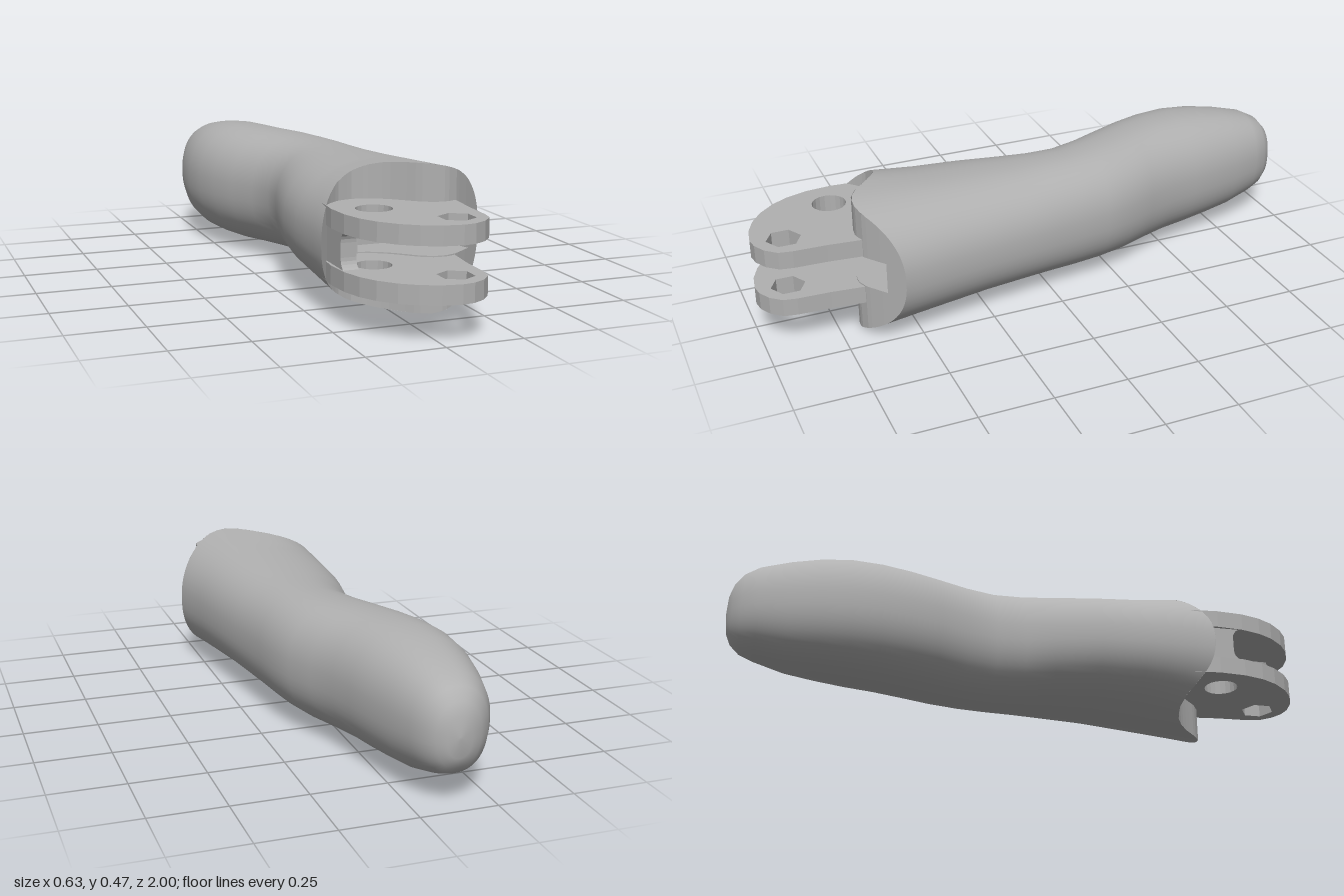
import * as THREE from 'three';

const grey = new THREE.MeshStandardMaterial({ color: 0xb0b0b0, side: THREE.DoubleSide });
grey.name = 'grey plastic';

// body sections: z, left edge, right edge, bottom, top, x of the crest
const SECTIONS = [
  [-1, -0.125, -0.115, 0.225, 0.235, -0.12],
  [-0.995, -0.16, -0.08, 0.165, 0.295, -0.12],
  [-0.98, -0.195, -0.05, 0.13, 0.335, -0.12],
  [-0.95, -0.23, -0.025, 0.1, 0.37, -0.125],
  [-0.9, -0.26, 0, 0.079, 0.395, -0.13],
  [-0.8, -0.29, 0.028, 0.05, 0.42, -0.13],
  [-0.7, -0.31, 0.053, 0.036, 0.437, -0.13],
  [-0.6, -0.315, 0.075, 0.028, 0.447, -0.12],
  [-0.5, -0.303, 0.095, 0.026, 0.449, -0.1],
  [-0.4, -0.277, 0.13, 0.026, 0.447, -0.07],
  [-0.3, -0.24, 0.172, 0.029, 0.445, -0.03],
  [-0.2, -0.195, 0.197, 0.031, 0.442, 0],
  [-0.1, -0.167, 0.21, 0.034, 0.44, 0.025],
  [0, -0.172, 0.225, 0.035, 0.44, 0.03],
  [0.1, -0.2, 0.24, 0.034, 0.441, 0.035],
  [0.25, -0.23, 0.263, 0.031, 0.447, 0.04],
  [0.4, -0.242, 0.285, 0.022, 0.455, 0.05],
];
const FRONT = [0.6, -0.245, 0.314, 0, 0.473, 0.06];
const POWER = 2.25;

// wavy front edge: z as a function of x
const EDGE = [[-0.245, 0.64], [-0.2, 0.588], [-0.16, 0.555], [-0.11, 0.543], [-0.06, 0.552], [-0.01, 0.58],
  [0.03, 0.615], [0.07, 0.655], [0.11, 0.678], [0.15, 0.682], [0.19, 0.668], [0.24, 0.63], [0.314, 0.57]];
function edgeZ(x) {
  let i = 0;
  while (i < EDGE.length - 2 && x > EDGE[i + 1][0]) i++;
  const [x0, z0] = EDGE[i], [x1, z1] = EDGE[i + 1];
  return z0 + (z1 - z0) * (x - x0) / (x1 - x0);
}

function geometry(positions, index) {
  const g = new THREE.BufferGeometry();
  g.setAttribute('position', new THREE.Float32BufferAttribute(positions, 3));
  if (index) g.setIndex(index);
  g.computeVertexNormals();
  return g;
}

// smooth finger skin, lofted from the tip to the wavy front edge
function skin() {
  const N = 56, pos = [], idx = [];
  const rows = SECTIONS.map(s => [s, 0]);
  const last = SECTIONS[SECTIONS.length - 1];
  for (const t of [0.35, 0.7, 1]) rows.push([last.map((v, k) => v + (FRONT[k] - v) * t), t]);
  const bend = (v) => Math.sign(v) * Math.pow(Math.abs(v), 2 / POWER);
  for (const [[z, l, r, b, t, cx], blend] of rows) {
    for (let j = 0; j < N; j++) {
      const a = j / N * Math.PI * 2, c = bend(Math.cos(a)), s = bend(Math.sin(a));
      const x = cx + c * (c > 0 ? r - cx : cx - l);
      const y = (b + t) / 2 + s * (t - b) / 2;
      pos.push(x, y, blend ? last[0] + (edgeZ(x) - last[0]) * blend : z);
    }
  }
  for (let i = 0; i < rows.length - 1; i++) for (let j = 0; j < N; j++) {
    const a = i * N + j, b = i * N + (j + 1) % N;
    idx.push(a, b, b + N, a, b + N, a + N);
  }
  const cap = [];
  for (let j = 1; j < N - 1; j++) cap.push(0, j + 1, j);
  return geometry(pos, idx.concat(cap));
}

// wavy front face with a deep slot between the fork plates
function frontFace() {
  const pos = [];
  const quad = (a, b, c, d) => pos.push(...a, ...b, ...c, ...a, ...c, ...d);
  const [, l, r, b, t, cx] = FRONT, mid = (b + t) / 2;
  const s0 = -0.09, s1 = 0.257, lo = 0.185, hi = 0.292, floor = 0.46;
  const half = (x) => {
    const u = Math.min(1, Math.abs((x - cx) / (x > cx ? r - cx : cx - l)));
    return (t - b) / 2 * Math.pow(1 - Math.pow(u, POWER), 1 / POWER);
  };
  const xs = [s0, s1];
  for (let i = 0; i <= 48; i++) xs.push(cx - Math.cos(i / 48 * Math.PI) * (i < 24 ? cx - l : r - cx));
  xs.sort((p, q) => p - q);
  const inner = (x) => -0.06 + (x - s0) / (s1 - s0) * 0.27;
  const column = (x) => {
    const h = half(x), z = edgeZ(x);
    return [mid - h, Math.max(lo, mid - h), Math.min(hi, mid + h), mid + h].map(y => [x, y, z]);
  };
  for (let i = 0; i < xs.length - 1; i++) {
    const p = column(xs[i]), q = column(xs[i + 1]);
    const open = xs[i] >= s0 && xs[i + 1] <= s1;
    for (let k = 0; k < 3; k++) if (k !== 1 || !open) quad(p[k], q[k], q[k + 1], p[k + 1]);
    if (!open) continue;
    const f = (x, y) => [inner(x), y, floor];
    const a = xs[i], c = xs[i + 1];
    quad(f(a, lo), f(c, lo), f(c, hi), f(a, hi));
    quad(p[1], q[1], f(c, lo), f(a, lo));
    quad(f(a, hi), f(c, hi), q[2], p[2]);
    if (a === s0) quad(p[1], f(a, lo), f(a, hi), p[2]);
    if (c === s1) quad(f(c, lo), q[1], q[2], f(c, hi));
  }
  return geometry(pos);
}

// one hinge plate with a round pin hole and a hexagonal pin hole
function hingePlate() {
  const shape = new THREE.Shape();
  [[-0.215, 0.57], [-0.222, 0.66], [-0.215, 0.75], [-0.195, 0.82], [-0.165, 0.875], [-0.12, 0.927], [-0.07, 0.964],
    [-0.01, 0.99], [0.05, 1], [0.09, 0.994], [0.13, 0.972], [0.162, 0.935], [0.17, 0.89], [0.174, 0.78],
    [0.184, 0.68], [0.19, 0.6], [0.1, 0.62], [0, 0.55], [-0.1, 0.52]]
    .forEach(([x, z], i) => (i ? shape.lineTo(x, z) : shape.moveTo(x, z)));
  const hole = (x, z, radius, sides) => {
    const p = [];
    for (let i = 0; i < sides; i++) {
      const a = Math.PI / 2 - i / sides * Math.PI * 2;
      p.push(new THREE.Vector2(x + Math.cos(a) * radius, z + Math.sin(a) * radius));
    }
    shape.holes.push(new THREE.Path(p));
  };
  hole(-0.1, 0.7, 0.057, 20);
  hole(0.077, 0.897, 0.057, 6);
  const g = new THREE.ExtrudeGeometry(shape, { depth: 0.06, bevelEnabled: false });
  return g.rotateX(Math.PI / 2);
}

// rounded web joining the two plates behind the round hole
function web() {
  const s = new THREE.Shape();
  s.moveTo(0.53, 0.175);
  s.lineTo(0.75, 0.175);
  s.quadraticCurveTo(0.715, 0.185, 0.715, 0.215);
  s.lineTo(0.715, 0.26);
  s.quadraticCurveTo(0.715, 0.29, 0.75, 0.3);
  s.lineTo(0.53, 0.3);
  const g = new THREE.ExtrudeGeometry(s, { depth: 0.05, bevelEnabled: false, curveSegments: 5 });
  return g.rotateY(-Math.PI / 2).translate(-0.162, 0, 0);
}

export function createModel() {
  const model = new THREE.Group();
  model.name = 'fingertip';
  const add = (name, g, y = 0) => {
    const m = new THREE.Mesh(g, grey);
    m.name = name;
    m.position.y = y;
    model.add(m);
  };
  add('fingerBody', skin());
  add('frontFace', frontFace());
  add('upperHingePlate', hingePlate(), 0.354);
  add('lowerHingePlate', hingePlate(), 0.181);
  add('hingeWeb', web());
  return model;
}
